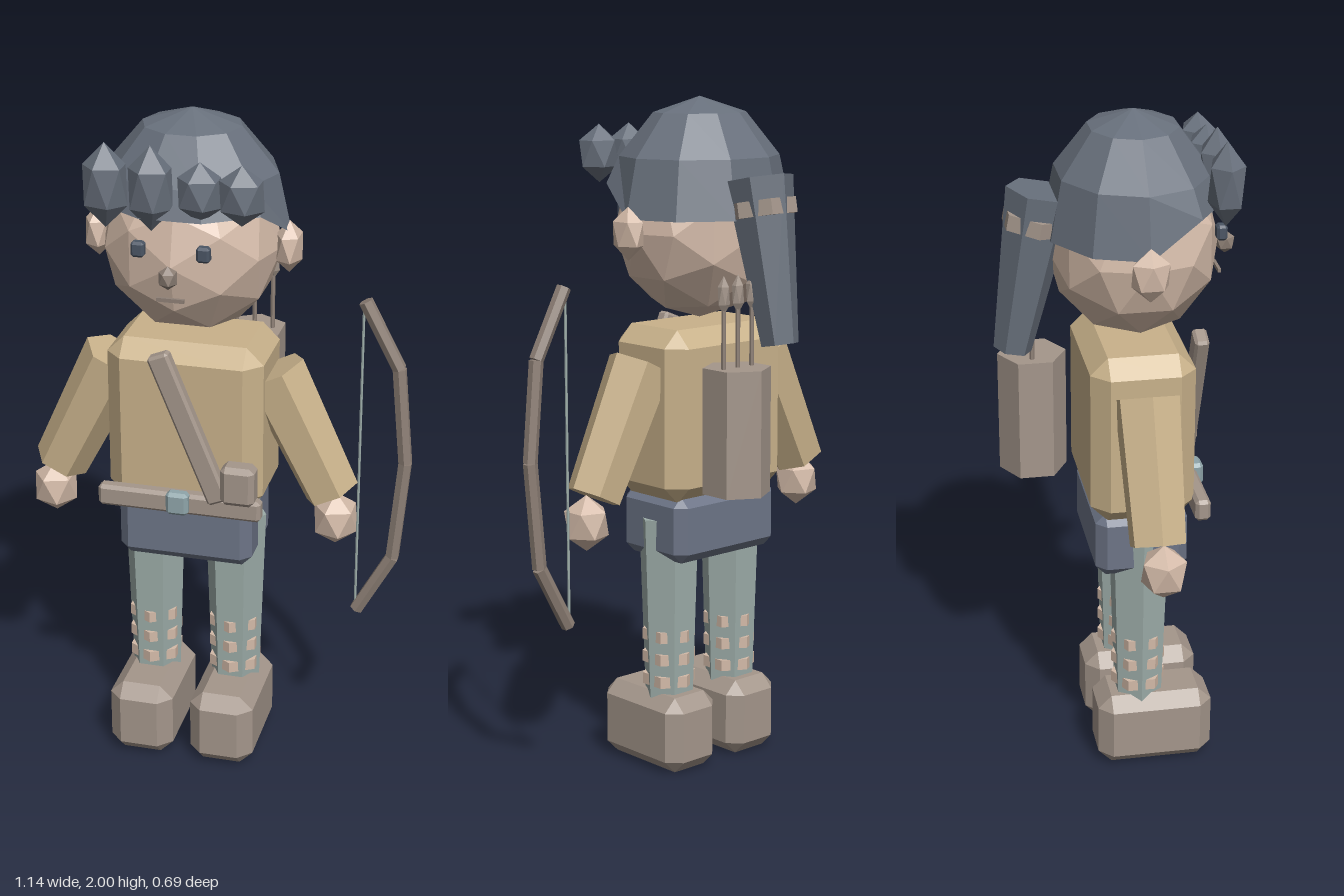
import * as THREE from 'three';
import { ConvexGeometry } from 'three/addons/geometries/ConvexGeometry.js';

const CX = -0.08, CZ = 0.05; // body centre line

function paint(name, color, side = THREE.FrontSide) {
  const m = new THREE.MeshStandardMaterial({ color, side });
  m.name = name;
  return m;
}

// Faceted normals for the low-poly look
function facet(g) {
  const out = g.index ? g.toNonIndexed() : g;
  out.computeVertexNormals();
  return out;
}

// Box with every edge and corner cut off
function chamferBox(w, h, d, b) {
  const pts = [];
  for (const x of [-1, 1]) for (const y of [-1, 1]) for (const z of [-1, 1]) {
    pts.push(new THREE.Vector3(x * w / 2, y * (h / 2 - b), z * (d / 2 - b)));
    pts.push(new THREE.Vector3(x * (w / 2 - b), y * h / 2, z * (d / 2 - b)));
    pts.push(new THREE.Vector3(x * (w / 2 - b), y * (h / 2 - b), z * d / 2));
  }
  return new ConvexGeometry(pts);
}

// Icosahedron standing on a corner, stretched to the given radii
function gem(rx, ry, rz, detail = 0) {
  const g = new THREE.IcosahedronGeometry(1, detail);
  if (!detail) g.rotateZ(Math.atan(2 / (1 + Math.sqrt(5))));
  return facet(g.scale(rx, ry, rz));
}

// Six-sided prism; turned puts corners on the x axis instead of z
function hex(rTop, rBottom, h, turned = false) {
  const g = new THREE.CylinderGeometry(rTop, rBottom, h, 6);
  if (turned) g.rotateY(Math.PI / 6);
  return facet(g);
}

export function createModel() {
  const skin = paint('skin', 0xd3baa8);
  const tunic = paint('tunic', 0xc9b28b);
  const hair = paint('hair', 0x68707c, THREE.DoubleSide);
  const shorts = paint('shorts', 0x6d7587);
  const trousers = paint('trousers', 0x9dada9);
  const leather = paint('leather', 0xa4968b);
  const wood = paint('wood', 0x8f8177);
  const metal = paint('metal', 0x8fa5aa);
  const eyeDark = paint('eye dark', 0x4b5564);

  const model = new THREE.Group();
  model.name = 'archer';

  function add(name, geo, mat, x, y, z, parent = model) {
    const mesh = new THREE.Mesh(geo, mat);
    mesh.name = name;
    mesh.position.set(x, y, z);
    parent.add(mesh);
    return mesh;
  }

  // Prism running from point a to point b
  function limb(name, mat, a, b, ra, rb, turned = false) {
    const p = new THREE.Vector3(...a), q = new THREE.Vector3(...b);
    const dir = p.clone().sub(q);
    const mid = p.clone().add(q).multiplyScalar(0.5);
    const mesh = add(name, hex(ra, rb, dir.length(), turned), mat, mid.x, mid.y, mid.z);
    mesh.quaternion.setFromUnitVectors(new THREE.Vector3(0, 1, 0), dir.normalize());
    return mesh;
  }

  // Torso and shorts
  add('torso', chamferBox(0.46, 0.51, 0.3, 0.05), tunic, CX, 1.088, CZ);
  add('shorts', chamferBox(0.4, 0.2, 0.27, 0.03), shorts, CX, 0.75, CZ);

  // Mirrored limbs
  for (const [s, side] of [[-1, 'right'], [1, 'left']]) {
    const lx = CX + s * 0.125;
    add(side + 'Boot', chamferBox(0.195, 0.233, 0.345, 0.04), leather, lx, 0.1165, 0.093);
    add(side + 'Leg', hex(0.093, 0.075, 0.56, true), trousers, lx, 0.49, CZ);
    // Leg wraps show only where their corners pass through the leg faces
    for (let i = 0; i < 3; i++) {
      add(side + 'LegWrap', hex(0.081, 0.081, 0.034), skin, lx, 0.27 + i * 0.07, CZ);
    }
    limb(side + 'Arm', tunic, [CX + s * 0.235, 1.24, CZ], [CX + s * 0.415, 0.873, CZ], 0.097, 0.083, true);
    add(side + 'Hand', gem(0.072, 0.083, 0.072), skin, CX + s * 0.43, 0.795, 0.065);
    add(side + 'Ear', gem(0.042, 0.077, 0.06), skin, CX + s * 0.277, 1.62, CZ);
    add(side + 'Eye', chamferBox(0.038, 0.044, 0.03, 0.007), eyeDark, CX + s * 0.092, 1.663, 0.283);
  }

  // Head and face
  add('head', gem(0.258, 0.262, 0.245, 1), skin, CX, 1.617, CZ);
  add('nose', gem(0.029, 0.034, 0.03), wood, CX, 1.598, 0.315);
  add('mouth', new THREE.BoxGeometry(0.078, 0.011, 0.009), wood, CX, 1.525, 0.293);

  // Hair cap, lifted at the forehead
  const cap = new THREE.SphereGeometry(1, 10, 3, 0, Math.PI * 2, 0, Math.PI / 2);
  const p = cap.attributes.position;
  for (let i = 0; i < p.count; i++) {
    if (p.getY(i) < 0.01 && p.getZ(i) > 0.1) p.setY(i, 0.27);
  }
  add('hairCap', facet(cap.scale(0.284, 0.34, 0.255)), hair, CX, 1.66, CZ);

  // Fringe tufts
  [[-0.265, 0.12], [-0.137, 0.12], [0, 0.085], [0.115, 0.085]].forEach(([x, h]) =>
    add('fringeTuft', gem(0.07, h, 0.056), hair, x, 1.833, 0.273));

  // Ponytail with its tie
  const tail = new THREE.Group();
  tail.name = 'ponytail';
  tail.position.set(CX + 0.005, 1.545, -0.248);
  tail.rotation.x = 0.187;
  add('ponytailHair', hex(0.1, 0.055, 0.475), hair, 0, 0, 0, tail);
  add('ponytailTie', hex(0.099, 0.099, 0.045, true), leather, 0, 0.15, 0, tail);
  model.add(tail);

  // Belt, buckle, strap and pouch
  add('belt', chamferBox(0.485, 0.065, 0.045, 0.01), leather, CX, 0.87, 0.217);
  add('buckle', chamferBox(0.066, 0.07, 0.04, 0.01), metal, CX, 0.878, 0.242);
  const strap = add('chestStrap', chamferBox(0.065, 0.475, 0.042, 0.008), leather, -0.045, 1.118, 0.24);
  strap.rotation.z = 0.385;
  add('pouch', chamferBox(0.1, 0.12, 0.07, 0.015), leather, 0.102, 0.962, 0.245);

  // Quiver and arrows
  add('quiver', hex(0.1, 0.1, 0.366), leather, 0.03, 1.068, -0.225);
  for (let i = -1; i <= 1; i++) {
    const x = 0.032 + i * 0.055;
    add('arrowShaft', hex(0.007, 0.007, 0.35), wood, x, 1.28, -0.23);
    add('arrowTip', gem(0.022, 0.056, 0.016), leather, x, 1.46, -0.23);
  }

  // Bow and string
  const bow = [[0.42, 1.485], [0.522, 1.29], [0.549, 1.0], [0.522, 0.69], [0.42, 0.5]];
  for (let i = 0; i < bow.length - 1; i++) {
    limb('bowLimb', wood, [...bow[i], 0.068], [...bow[i + 1], 0.068], 0.021, 0.021);
  }
  add('bowString', hex(0.004, 0.004, 0.97), trousers, 0.416, 0.992, 0.068);

  return model;
}
